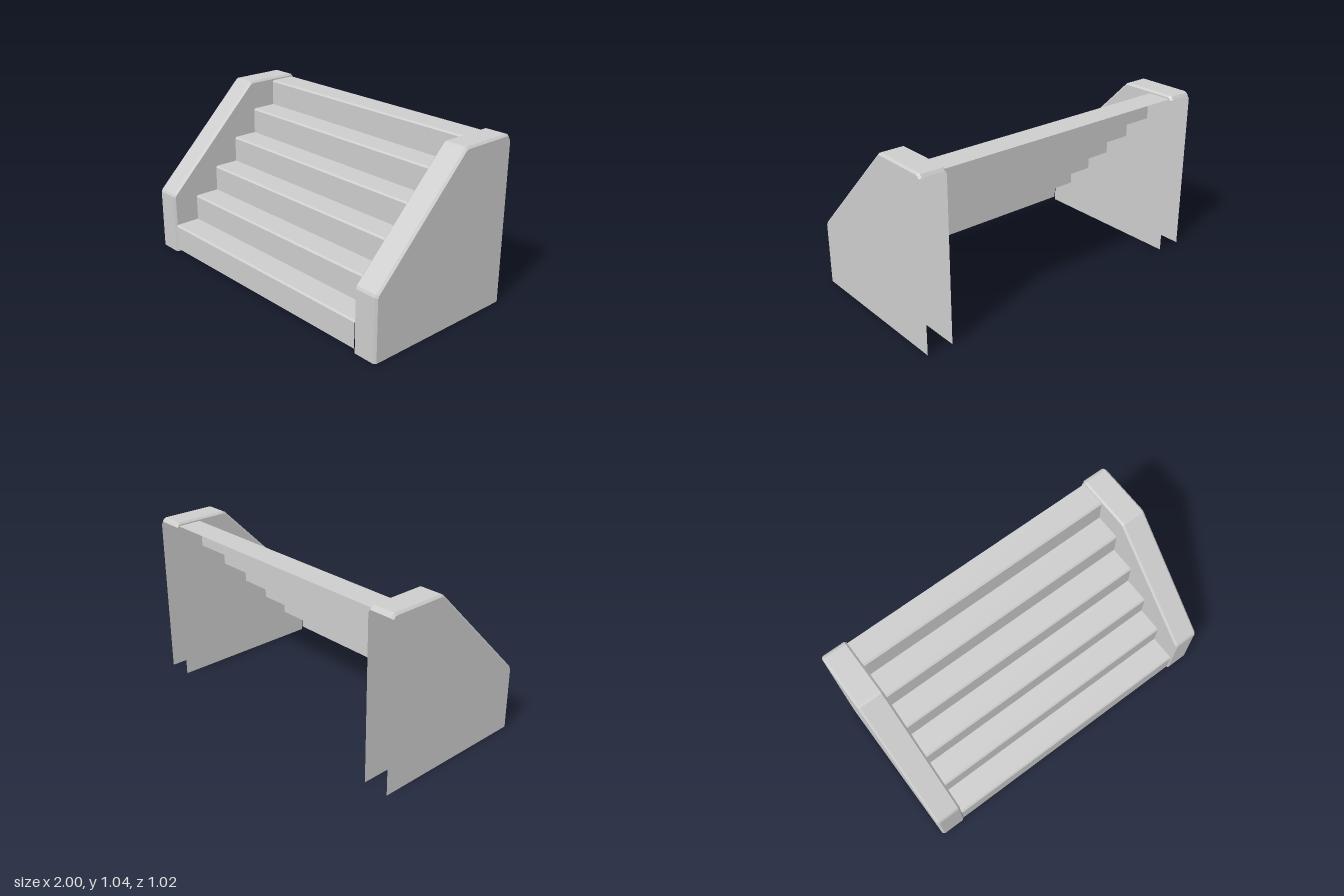
import * as THREE from 'three';

const stone = new THREE.MeshStandardMaterial({ color: 0xcccccc, side: THREE.DoubleSide });
stone.name = 'grey stone';

const BEVEL = 0.012;
const INNER = 0.838; // inner face of the side walls
const OUTER = 1.0;

// Side wall outline as [z, y], from the front foot over the top to the back foot
const wallProfile = [
  [0.51, 0], [0.51, 0.385], [0.502, 0.402], [-0.132, 1.034], [-0.148, 1.042],
  [-0.485, 1.042], [-0.5, 1.036], [-0.512, 1.02],
];

// Move a profile inwards by a distance, mitring the corners
function inset(profile, distance) {
  const normal = (a, b) => new THREE.Vector2(b[1] - a[1], a[0] - b[0]).normalize();
  return profile.map((p, i) => {
    const before = i > 0 ? normal(profile[i - 1], p) : normal(p, profile[i + 1]);
    const after = i < profile.length - 1 ? normal(p, profile[i + 1]) : before;
    const m = before.clone().add(after).multiplyScalar(distance / (1 + before.dot(after)));
    return [p[0] - m.x, Math.max(0, p[1] - m.y)];
  });
}

// Faceted sheet through profiles placed at increasing x
function sheet(name, sections) {
  const positions = [];
  for (let s = 0; s < sections.length - 1; s++) {
    const [A, B] = [sections[s], sections[s + 1]];
    const point = (S, i) => [S.x, S.profile[i][1], S.profile[i][0]];
    for (let i = 0; i < A.profile.length - 1; i++) {
      const [a, b, c, d] = [point(A, i), point(B, i), point(B, i + 1), point(A, i + 1)];
      positions.push(...a, ...b, ...c, ...a, ...c, ...d);
    }
  }
  const geometry = new THREE.BufferGeometry();
  geometry.setAttribute('position', new THREE.Float32BufferAttribute(positions, 3));
  geometry.computeVertexNormals();
  const mesh = new THREE.Mesh(geometry, stone);
  mesh.name = name;
  return mesh;
}

// Flat wall face at x, looking along +x or -x
function wallFace(name, x, facing) {
  const outline = [...inset(wallProfile, BEVEL), [-0.512, 1.0], [-0.512, 0]];
  const shape = new THREE.Shape(outline.map(([z, y]) => new THREE.Vector2(-facing * z, y)));
  const geometry = new THREE.ShapeGeometry(shape);
  geometry.rotateY(facing * Math.PI / 2);
  const mesh = new THREE.Mesh(geometry, stone);
  mesh.name = name;
  mesh.position.x = x;
  return mesh;
}

// Hollow side wall, open at the back and underneath
function sideWall(name, side) {
  const wall = new THREE.Group();
  wall.name = name;
  const [x0, x1] = side > 0 ? [INNER, OUTER] : [-OUTER, -INNER];
  const small = inset(wallProfile, BEVEL);
  wall.add(
    sheet('coping', [
      { x: x0, profile: small },
      { x: x0 + BEVEL, profile: wallProfile },
      { x: x1 - BEVEL, profile: wallProfile },
      { x: x1, profile: small },
    ]),
    wallFace('lowXFace', x0, -1),
    wallFace('highXFace', x1, 1),
  );
  return wall;
}

// Folded sheet of risers and treads with worn, bevelled nosings
function stairs() {
  const count = 6, rise = 1 / 6, run = 0.166, nose = 0.01;
  const profile = [[0.503, 0.02]];
  for (let i = 0; i < count; i++) {
    const z = 0.503 - i * run;
    const y = 0.022 + (i + 1) * rise;
    profile.push([z, y - nose], [z - nose, y], [z - run, y]);
  }
  return sheet('steps', [{ x: -INNER, profile }, { x: INNER, profile }]);
}

export function createModel() {
  const model = new THREE.Group();
  model.name = 'staircase';
  model.add(stairs(), sideWall('leftWall', 1), sideWall('rightWall', -1));
  return model;
}
